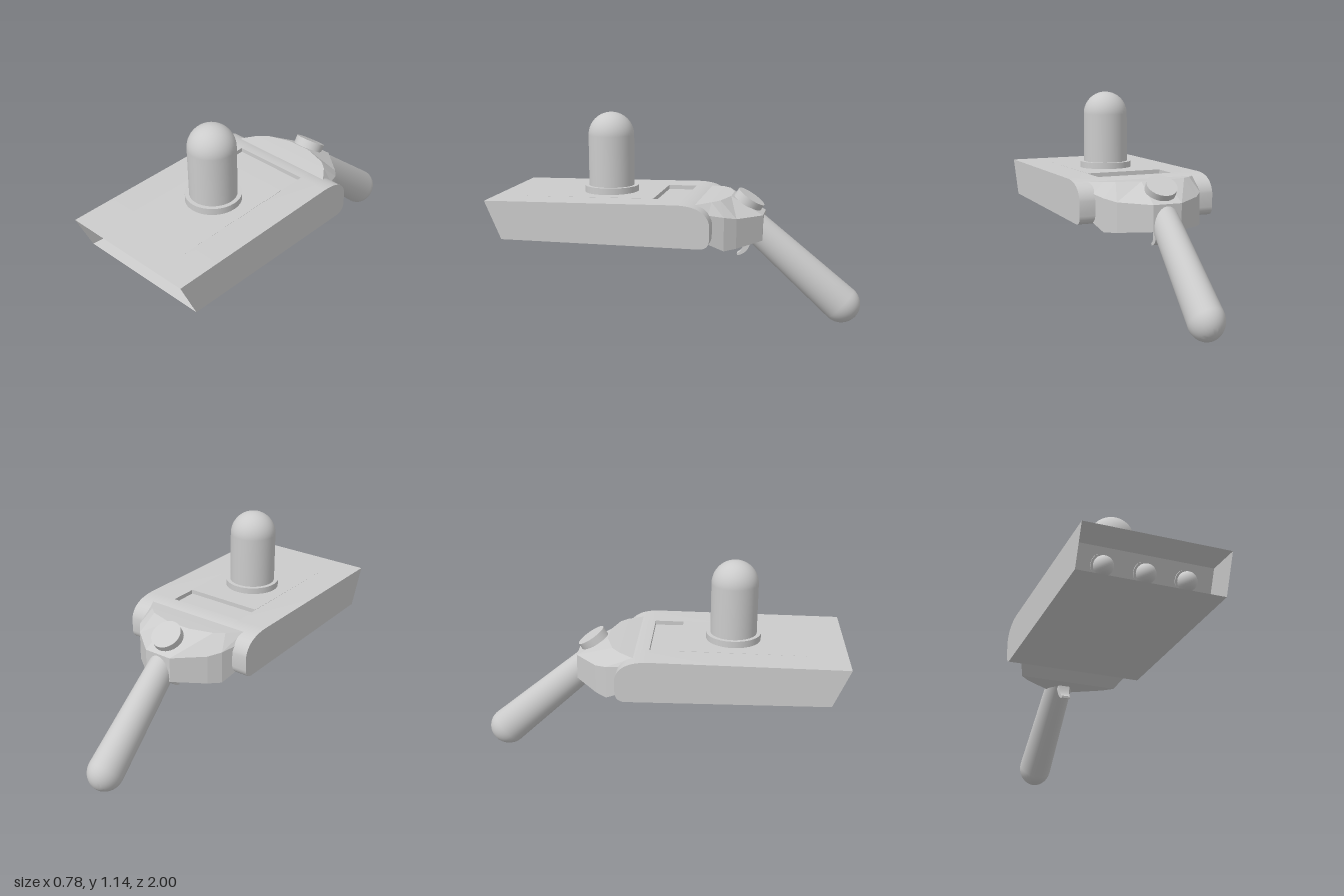
import * as THREE from 'three';
import { toCreasedNormals } from 'three/addons/utils/BufferGeometryUtils.js';

const grey = new THREE.MeshStandardMaterial({ color: 0xcccccc });
const greyDouble = new THREE.MeshStandardMaterial({ color: 0xcccccc, side: THREE.DoubleSide });

// Heights of the body's top and bottom faces along z
const topY = z => 0.7 - 0.013 * z;
const bottomY = z => 0.472 + 0.009 * z;
// The slanted lamp panel, set back from the front rim
const panelZ = y => 0.78 + 0.09 * (y - 0.48) / 0.207;

function add(parent, name, geometry, material = grey) {
  const mesh = new THREE.Mesh(geometry, material);
  mesh.name = name;
  parent.add(mesh);
  return mesh;
}

// Flat-faced skin over closed rings of points, with optional end caps
function loft(rings, capped) {
  const out = [];
  const tri = (...pts) => pts.forEach(p => out.push(...p));
  const n = rings[0].length;
  for (let r = 0; r + 1 < rings.length; r++) {
    for (let i = 0; i < n; i++) {
      const j = (i + 1) % n, a = rings[r], b = rings[r + 1];
      tri(a[i], a[j], b[j]);
      tri(a[i], b[j], b[i]);
    }
  }
  if (capped) {
    const low = rings[0], high = rings[rings.length - 1];
    // Strips between mirrored points
    for (let i = 0; i < n / 2 - 1; i++) {
      const k = n - 1 - i;
      tri(high[i], high[i + 1], high[k - 1]);
      tri(high[i], high[k - 1], high[k]);
      tri(low[i], low[k - 1], low[i + 1]);
      tri(low[i], low[k], low[k - 1]);
    }
  }
  const g = new THREE.BufferGeometry();
  g.setAttribute('position', new THREE.Float32BufferAttribute(out, 3));
  g.computeVertexNormals();
  return g;
}

// Extrude a side profile drawn in (z, y) across x0..x1
function extrudeAcross(shape, x0, x1) {
  const g = new THREE.ExtrudeGeometry(shape, { depth: x1 - x0, bevelEnabled: false, curveSegments: 12 });
  g.rotateY(-Math.PI / 2);
  g.translate(x1, 0, 0);
  return toCreasedNormals(g, 0.5);
}

function bodyProfile(slot) {
  const s = new THREE.Shape();
  s.moveTo(0.78, bottomY(0.78));
  s.lineTo(0.87, topY(0.87));
  if (slot) {
    s.lineTo(0.11, topY(0.11));
    s.lineTo(0.11, 0.675);
    s.lineTo(-0.05, 0.675);
  }
  s.lineTo(-0.05, 0.699);
  s.quadraticCurveTo(-0.2, 0.695, -0.22, 0.6);
  s.lineTo(-0.22, 0.53);
  s.quadraticCurveTo(-0.22, 0.475, -0.17, 0.471);
  s.closePath();
  return s;
}

const rect = (x, yLow, zLow, yHigh, zHigh) =>
  [[-x, yLow, zLow], [x, yLow, zLow], [x, yHigh, zHigh], [-x, yHigh, zHigh]];

export function createModel() {
  const model = new THREE.Group();

  // Body with a shallow slot in the top of its middle section
  const body = new THREE.Group();
  body.name = 'body';
  model.add(body);
  add(body, 'bodyMiddle', extrudeAcross(bodyProfile(true), -0.22, 0.22));
  add(body, 'bodyLeft', extrudeAcross(bodyProfile(false), 0.22, 0.39));
  add(body, 'bodyRight', extrudeAcross(bodyProfile(false), -0.39, -0.22));

  // Front frame: outer walls, then funnel walls back to the lamp panel
  add(body, 'frontFrame', loft([
    rect(0.39, bottomY(0.78), 0.78, topY(0.87), 0.87),
    rect(0.39, 0.48, 0.91, 0.687, 1),
    rect(0.36, 0.5, panelZ(0.5), 0.66, panelZ(0.66)),
  ], false), greyDouble);

  // Front lamps with thin seats
  const tilt = Math.atan2(0.09, 0.207);
  for (const x of [-0.22, 0, 0.22]) {
    const lamp = new THREE.Group();
    lamp.name = 'frontLamp';
    lamp.position.set(x, 0.577, panelZ(0.577));
    lamp.rotation.x = tilt;
    add(lamp, 'lampSeat', new THREE.CylinderGeometry(0.062, 0.062, 0.012, 32)).rotation.x = Math.PI / 2;
    add(lamp, 'lampBulb', new THREE.SphereGeometry(0.051, 32, 20)).position.z = 0.012;
    model.add(lamp);
  }

  // Dome tube and its collar
  const dome = [new THREE.Vector2(0.127, 0.69)];
  for (let i = 0; i <= 14; i++) {
    const a = i / 14 * Math.PI / 2;
    dome.push(new THREE.Vector2(0.127 * Math.cos(a), 1.01 + 0.127 * Math.sin(a)));
  }
  add(model, 'domeTube', new THREE.LatheGeometry(dome, 40)).position.z = 0.395;
  add(model, 'domeCollar', new THREE.CylinderGeometry(0.15, 0.15, 0.05, 40)).position.set(0, 0.706, 0.395);

  // Faceted rear hub: half outlines mirrored into full rings
  const ring = half => [...half, ...half.map(([x, y, z]) => [-x, y, z]).reverse()];
  add(model, 'rearHub', loft([
    ring([[0.31, 0.49, -0.08], [0.31, 0.48, -0.2], [0.28, 0.44, -0.28], [0.23, 0.445, -0.34], [0.08, 0.46, -0.465]]),
    ring([[0.31, 0.66, -0.08], [0.31, 0.635, -0.2], [0.28, 0.62, -0.28], [0.23, 0.605, -0.34], [0.08, 0.6, -0.465]]),
    ring([[0.31, 0.685, -0.08], [0.31, 0.688, -0.13], [0.25, 0.695, -0.21], [0.2, 0.697, -0.25], [0.07, 0.699, -0.29]]),
  ], true));

  // Tilted knob on the hub slope
  const knob = add(model, 'knob', new THREE.CylinderGeometry(0.083, 0.083, 0.1, 32));
  knob.position.set(0, 0.646, -0.367);
  knob.rotation.x = -0.58;

  // Handle: rounded butt tapering up into the hub
  const grip = [];
  for (let i = 0; i <= 12; i++) {
    const a = i / 12 * Math.PI / 2;
    grip.push(new THREE.Vector2(0.105 * Math.sin(a), -0.105 * Math.cos(a)));
  }
  grip.push(new THREE.Vector2(0.082, 0.665), new THREE.Vector2(0, 0.665));
  const handle = add(model, 'handle', toCreasedNormals(new THREE.LatheGeometry(grip, 36), 0.6));
  handle.position.set(0, 0.105, -0.895);
  handle.rotation.x = Math.atan2(0.46, 0.4);
  handle.scale.x = 0.88;

  // Hooked trigger, narrower at its tip
  const hook = new THREE.Shape();
  hook.moveTo(-0.4, 0.48);
  hook.quadraticCurveTo(-0.395, 0.37, -0.32, 0.358);
  hook.lineTo(-0.318, 0.37);
  hook.quadraticCurveTo(-0.362, 0.385, -0.355, 0.48);
  hook.closePath();
  const trigger = extrudeAcross(hook, -0.035, 0.035);
  const p = trigger.attributes.position;
  for (let i = 0; i < p.count; i++) {
    p.setX(i, p.getX(i) * (0.7 + 0.3 * (p.getY(i) - 0.358) / 0.122));
  }
  add(model, 'trigger', trigger);

  return model;
}
